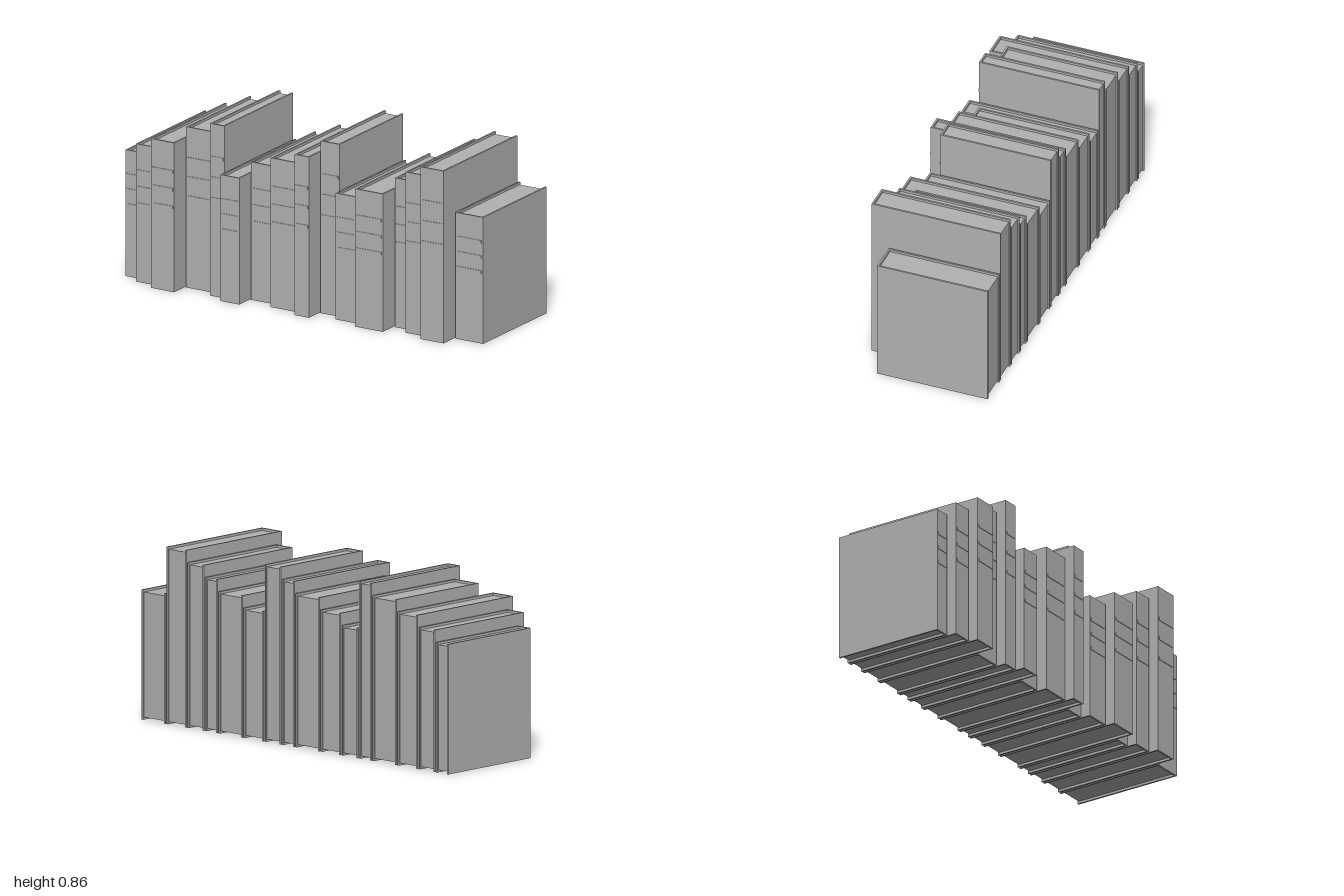
import * as THREE from 'three';

const WIDTHS = [0.08, 0.105, 0.13, 0.155];
const HEIGHTS = [0.628, 0.685, 0.742, 0.799, 0.856];
const FRONTS = [0.235, 0.282, 0.328];
const BACK = -0.331;
const GAP = 0.008;
const BOARD = 0.009;   // cover thickness
const INSET = 0.012;   // page block set in from top and bottom

export function createModel() {
  const group = new THREE.Group();
  group.name = 'bookRow';
  const grey = new THREE.MeshStandardMaterial({ color: 0xb2b2b2 });
  grey.name = 'grey';

  const addBox = (parent, name, w, h, d, x, y, z) => {
    const mesh = new THREE.Mesh(new THREE.BoxGeometry(w, h, d), grey);
    mesh.name = name;
    mesh.position.set(x, y, z);
    parent.add(mesh);
  };

  function makeBook(w, h, front) {
    const book = new THREE.Group();
    const depth = front - BACK;
    const midZ = (front + BACK) / 2;

    // two cover boards joined by the spine
    for (const [name, side] of [['leftCover', 1], ['rightCover', -1]]) {
      addBox(book, name, BOARD, h, depth, side * (w - BOARD) / 2, h / 2, midZ);
    }
    addBox(book, 'spine', w - 2 * BOARD, h, BOARD, 0, h / 2, front - BOARD / 2);

    // page block, slightly recessed at top, bottom and back
    const pageBack = BACK + 0.006;
    const pageFront = front - BOARD;
    addBox(book, 'pages', w - 2 * BOARD, h - 2 * INSET, pageFront - pageBack,
      0, h / 2, (pageFront + pageBack) / 2);

    // raised bands across the spine
    for (const f of [0.565, 0.685, 0.804]) {
      addBox(book, 'spineBand', w * 0.88, 0.015, 0.006, 0, h * f, front);
    }
    return book;
  }

  // sixteen books, with width, height and depth each repeating in turn
  let x = -1;
  for (let i = 0; i < 16; i++) {
    const w = WIDTHS[i % 4];
    const book = makeBook(w, HEIGHTS[i % 5], FRONTS[i % 3]);
    book.name = `book${i + 1}`;
    book.position.x = x + w / 2;
    group.add(book);
    x += w + GAP;
  }
  return group;
}
